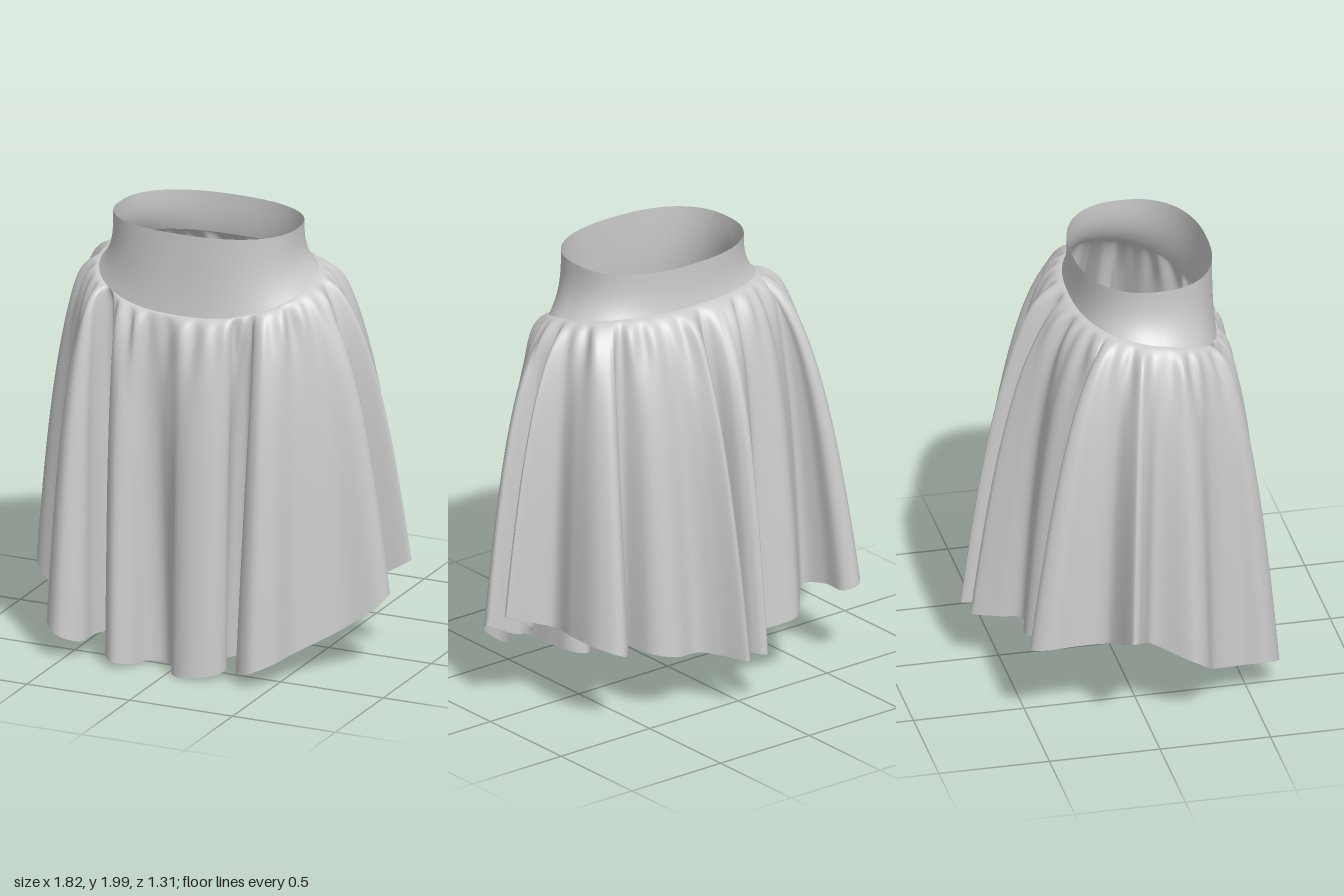
import * as THREE from 'three';

const N = 420;        // samples around the skirt
const ROWS = 56;      // samples down the cloth
const mat = new THREE.MeshStandardMaterial({ color: 0xcccccc, side: THREE.DoubleSide });

// Folded hem seen from above as x, z pairs: front, left side, back, right side
const HEM = [
  -0.07, 0.48, -0.01, 0.53, 0.03, 0.62, 0.11, 0.65, 0.22, 0.61, 0.25, 0.53, 0.18, 0.42, 0.17, 0.34,
  0.22, 0.30, 0.28, 0.34, 0.30, 0.44, 0.33, 0.60, 0.42, 0.65, 0.50, 0.58, 0.55, 0.44, 0.70, 0.29,
  0.86, 0.22, 0.88, 0.17, 0.72, 0.14, 0.70, 0.07, 0.91, 0.01, 0.69, -0.05, 0.70, -0.20, 0.69, -0.37,
  0.62, -0.46, 0.55, -0.41, 0.53, -0.28, 0.46, -0.25, 0.41, -0.42, 0.32, -0.47, 0.19, -0.45, 0.12, -0.53,
  0.06, -0.66, 0.03, -0.52, 0.02, -0.35, -0.005, -0.40, -0.01, -0.58, -0.05, -0.64, -0.11, -0.53, -0.15, -0.43,
  -0.36, -0.46, -0.45, -0.37, -0.55, -0.27, -0.60, -0.36, -0.61, -0.48, -0.67, -0.51, -0.72, -0.44, -0.69, -0.30,
  -0.71, -0.17, -0.91, -0.09, -0.85, -0.04, -0.74, 0.03, -0.82, 0.20, -0.79, 0.26, -0.65, 0.33, -0.59, 0.46,
  -0.60, 0.58, -0.52, 0.65, -0.43, 0.59, -0.42, 0.46, -0.37, 0.33, -0.29, 0.31, -0.23, 0.38, -0.29, 0.50,
  -0.31, 0.59, -0.25, 0.65, -0.18, 0.60, -0.14, 0.51,
];

// Hem height: long in front, raised at the sides, medium at the back
function hemY(x, z) {
  const back = 1 - THREE.MathUtils.smoothstep(z, -0.05, 0.3);
  return THREE.MathUtils.lerp(0.005 + 0.42 * x * x, 0.26 + 0.28 * x * x, back);
}

// Running average around a closed list
function smooth(list, w) {
  return list.map((_, i) => {
    let s = 0;
    for (let k = -w; k <= w; k++) s += list[(i + k + N) % N];
    return s / (2 * w + 1);
  });
}

// Waist ring, k = 0 at the top edge and 1 at the gathered seam
const power = (v, p) => Math.sign(v) * Math.abs(v) ** p;
function waistPoint(a, k) {
  const c = Math.cos(a), flare = k ** 3;
  const seam = 1.71 - 0.085 * c + 0.045 * Math.sin(a) ** 2;
  return new THREE.Vector3(
    -0.02 + (0.43 + 0.07 * flare) * power(Math.sin(a), 0.85),
    THREE.MathUtils.lerp(2 - 0.006 * (1 - c), seam, k),
    0.132 + (0.305 + 0.015 * flare) * power(c, 0.85));
}

// Closed loft: point(i, v) gives sample i around at depth v from 0 to 1
function loft(name, rows, point) {
  const pos = [], idx = [];
  for (let j = 0; j <= rows; j++) {
    for (let i = 0; i < N; i++) {
      pos.push(...point(i, j / rows).toArray());
      if (j === rows) continue;
      const n = (i + 1) % N, a = j * N + i, b = j * N + n;
      idx.push(a, a + N, b, b, a + N, b + N);
    }
  }
  const geo = new THREE.BufferGeometry();
  geo.setAttribute('position', new THREE.Float32BufferAttribute(pos, 3));
  geo.setIndex(idx);
  geo.computeVertexNormals();
  const mesh = new THREE.Mesh(geo, mat);
  mesh.name = name;
  return mesh;
}

export function createModel() {
  const points = [];
  for (let i = 0; i < HEM.length; i += 2) points.push(new THREE.Vector3(HEM[i], 0, HEM[i + 1]));
  const hem = new THREE.CatmullRomCurve3(points, true).getSpacedPoints(N).slice(0, N);
  hem.forEach((p) => { p.y = hemY(p.x, p.z); });

  // Direction of each cloth strand at the waist, averaged so that folds share a root
  const turn = hem.map((p, i) => {
    const base = (i / N) * Math.PI * 2;
    const d = Math.atan2(p.x, p.z - 0.1) - base;
    return d - Math.round(d / (Math.PI * 2)) * Math.PI * 2;
  });
  const angle = smooth(smooth(turn, 16), 10).map((d, i) => d + (i / N) * Math.PI * 2);
  const softX = smooth(hem.map((p) => p.x), 18);
  const softZ = smooth(hem.map((p) => p.z), 18);

  const skirt = new THREE.Group();
  skirt.name = 'skirt';

  // Smooth fitted band
  skirt.add(loft('waistband', 14, (i, v) => waistPoint(angle[i], v)));

  // Gathered cloth: bulges out below the seam, folds deepen toward the hem
  skirt.add(loft('pleatedCloth', ROWS, (i, v) => {
    const t = v ** 1.6, a = angle[i], h = hem[i];
    const p = waistPoint(a, 1);
    const spread = Math.sqrt(t), fold = t ** 0.58;
    p.x += (softX[i] - p.x) * spread + (h.x - softX[i]) * fold;
    p.z += (softZ[i] - p.z) * spread + (h.z - softZ[i]) * fold;
    p.y += (h.y - p.y) * t;
    // Small gathers under the seam and a slight puff
    const gather = (t / 0.05) * Math.exp(1 - t / 0.05);
    const out = gather * (0.01 * Math.sin(34 * a) + 0.008 * Math.sin(21 * a + 1))
      + 0.03 * Math.sin(Math.PI * spread);
    p.x += Math.sin(a) * out;
    p.z += Math.cos(a) * out;
    return p;
  }));
  return skirt;
}
